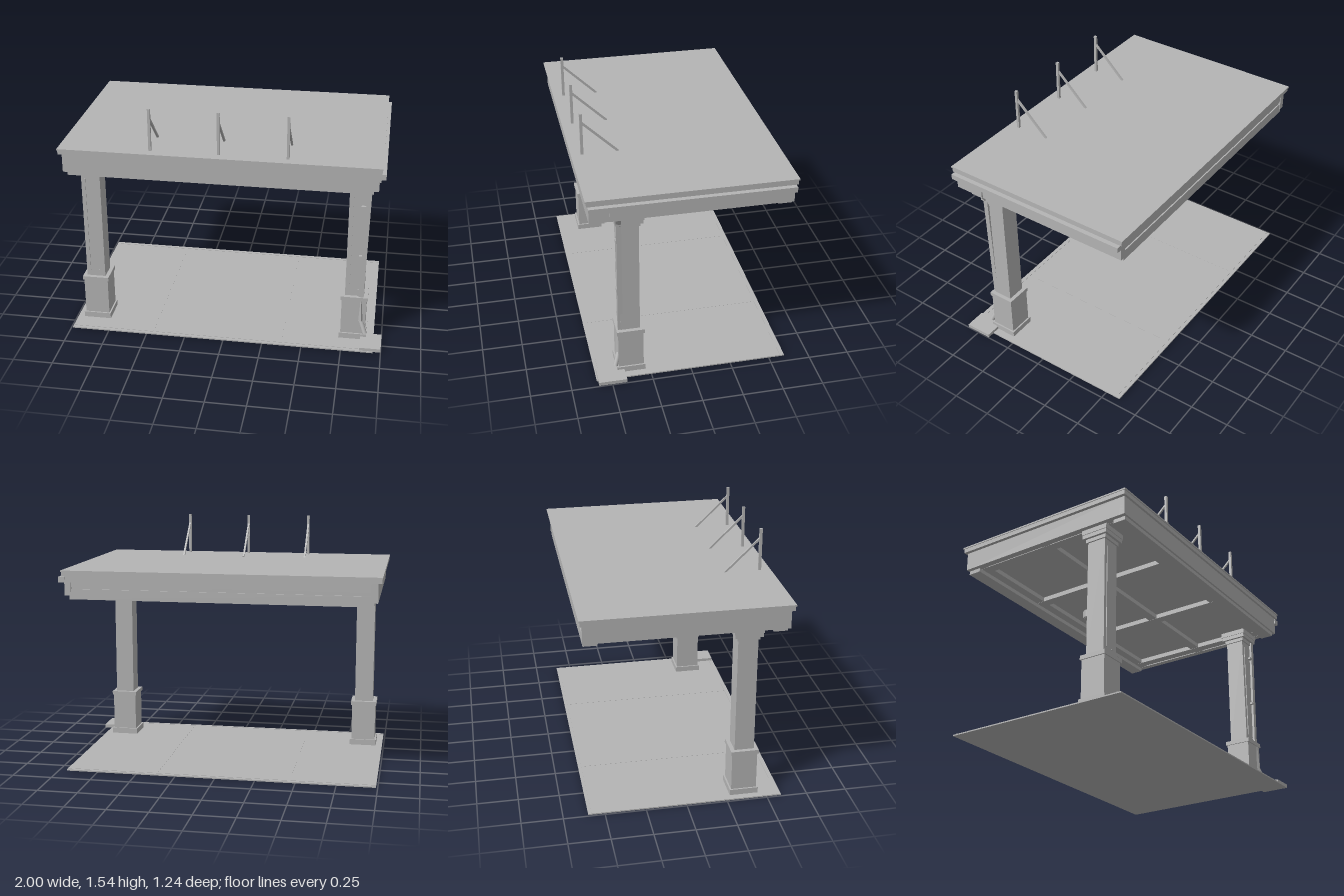
import * as THREE from 'three';

const stone = new THREE.MeshStandardMaterial({ color: 0xb4b4b4 });
stone.name = 'light grey';

// Box given by its min and max on each axis
function block(parent, name, x0, x1, y0, y1, z0, z1) {
  const mesh = new THREE.Mesh(new THREE.BoxGeometry(x1 - x0, y1 - y0, z1 - z0), stone);
  mesh.position.set((x0 + x1) / 2, (y0 + y1) / 2, (z0 + z1) / 2);
  mesh.name = name;
  parent.add(mesh);
  return mesh;
}

// Square block stack centred on a column axis
function tier(parent, name, cx, cz, w, y0, y1) {
  return block(parent, name, cx - w / 2, cx + w / 2, y0, y1, cz - w / 2, cz + w / 2);
}

// Straight bar between two points
function bar(parent, name, a, b, w, round = false) {
  const p = new THREE.Vector3(...a), q = new THREE.Vector3(...b);
  const dir = q.clone().sub(p), len = dir.length();
  const geo = round ? new THREE.CylinderGeometry(w / 2, w / 2, len, 14) : new THREE.BoxGeometry(w, len, w);
  const mesh = new THREE.Mesh(geo, stone);
  mesh.position.copy(p).add(q).multiplyScalar(0.5);
  mesh.quaternion.setFromUnitVectors(new THREE.Vector3(0, 1, 0), dir.normalize());
  mesh.name = name;
  parent.add(mesh);
  return mesh;
}

function group(parent, name) {
  const g = new THREE.Group();
  g.name = name;
  parent.add(g);
  return g;
}

export function createModel() {
  const model = new THREE.Group();
  model.name = 'canopy';

  // Paved floor with raised joints
  const floor = group(model, 'floor');
  block(floor, 'floorSlab', -0.99, 0.95, 0, 0.008, -0.6, 0.59);
  for (const x of [-0.46, 0.37]) block(floor, 'floorJoint', x - 0.002, x + 0.002, 0.006, 0.009, -0.57, 0.56);
  for (const z of [-0.575, 0.565]) block(floor, 'floorBorder', -0.99, 0.95, 0.006, 0.01, z - 0.003, z + 0.003);

  // Columns on pedestals
  for (const cx of [-0.86, 0.815]) {
    const column = group(model, 'column');
    const cz = 0.365;
    tier(column, 'foot', cx, cz, 0.176, 0.005, 0.045);
    tier(column, 'pedestal', cx, cz, 0.156, 0.04, 0.286);
    tier(column, 'pedestalCap', cx, cz, 0.17, 0.284, 0.31);
    tier(column, 'shaft', cx, cz, 0.12, 0.3, 1.06);
    tier(column, 'neck', cx, cz, 0.138, 1.042, 1.068);
    tier(column, 'capital', cx, cz, 0.168, 1.065, 1.1);
    tier(column, 'capitalTop', cx, cz, 0.176, 1.09, 1.122);
    block(column, 'shaftStrip', cx - 0.039, cx - 0.033, 0.35, 1.0, 0.422, 0.43);
    block(column, 'shaftStud', cx + 0.018, cx + 0.026, 0.347, 0.355, 0.422, 0.429);
  }

  // Roof slab and its stepped edge
  const roof = group(model, 'roof');
  block(roof, 'roofTop', -1, 0.948, 1.265, 1.275, -0.622, 0.62);
  block(roof, 'roofEdge', -0.996, 0.944, 1.238, 1.266, -0.615, 0.614);
  block(roof, 'ceiling', -0.96, 0.92, 1.15, 1.24, -0.58, 0.59);

  // Fascias around the roof, the back one set in between end plates
  block(roof, 'frontFascia', -0.975, 0.93, 1.12, 1.24, 0.56, 0.6);
  block(roof, 'backFascia', -0.97, 0.925, 1.12, 1.24, -0.59, -0.55);
  block(roof, 'backRidge', -0.97, 0.925, 1.18, 1.24, -0.597, -0.58);
  for (const [a, b] of [[-0.975, -0.935], [0.89, 0.93]]) block(roof, 'sideFascia', a, b, 1.12, 1.24, -0.602, 0.6);

  // Lower beams and ceiling ribs
  block(roof, 'frontBeam', -0.95, 0.9, 1.096, 1.16, 0.505, 0.588);
  block(roof, 'backBeam', -0.95, 0.9, 1.096, 1.16, -0.598, -0.515);
  for (const x of [-0.9, -0.34, 0.29, 0.85]) block(roof, 'crossRib', x - 0.03, x + 0.03, 1.12, 1.16, -0.53, 0.52);
  for (const z of [-0.49, 0, 0.48]) block(roof, 'longRib', -0.94, 0.9, 1.121, 1.16, z - 0.03, z + 0.03);

  // Ceiling lamp
  const lamp = group(roof, 'ceilingLamp');
  lamp.position.set(-0.025, 1.1, -0.33);
  const collar = new THREE.Mesh(new THREE.CylinderGeometry(0.046, 0.046, 0.055, 32), stone);
  collar.position.y = 0.0275;
  collar.name = 'lampCollar';
  const dome = new THREE.Mesh(new THREE.SphereGeometry(0.04, 32, 10, 0, Math.PI * 2, Math.PI / 2, Math.PI / 2), stone);
  dome.scale.y = 0.35;
  dome.name = 'lampDome';
  lamp.add(collar, dome);

  // Gutter along one side, with its outlet
  const drain = group(model, 'drain');
  block(drain, 'gutter', 0.925, 0.968, 1.2, 1.234, -0.605, 0.605);
  block(drain, 'outletBox', 0.92, 0.94, 1.125, 1.202, 0.402, 0.48);

  // Downspout that follows the column to the splash block
  const spout = [[0.925, 1.14, 0.43], [0.875, 1.065, 0.425], [0.857, 0.3, 0.425], [0.862, 0.14, 0.435], [0.893, 0.06, 0.463]];
  for (let i = 0; i < spout.length - 1; i++) bar(drain, 'downspout', spout[i], spout[i + 1], 0.03, i === 3);
  for (const y of [0.935, 0.595]) block(drain, 'pipeClip', 0.83, 0.862, y - 0.007, y + 0.007, 0.42, 0.443);
  block(drain, 'splashBlock', 0.865, 1, 0.005, 0.028, 0.41, 0.583);

  // Braced posts on the roof
  for (const x of [-0.44, -0.025, 0.39]) {
    const support = group(model, 'signSupport');
    block(support, 'post', x - 0.008, x + 0.008, 1.27, 1.54, 0.544, 0.561);
    bar(support, 'brace', [x, 1.48, 0.55], [x, 1.273, 0.335], 0.012);
  }
  return model;
}
